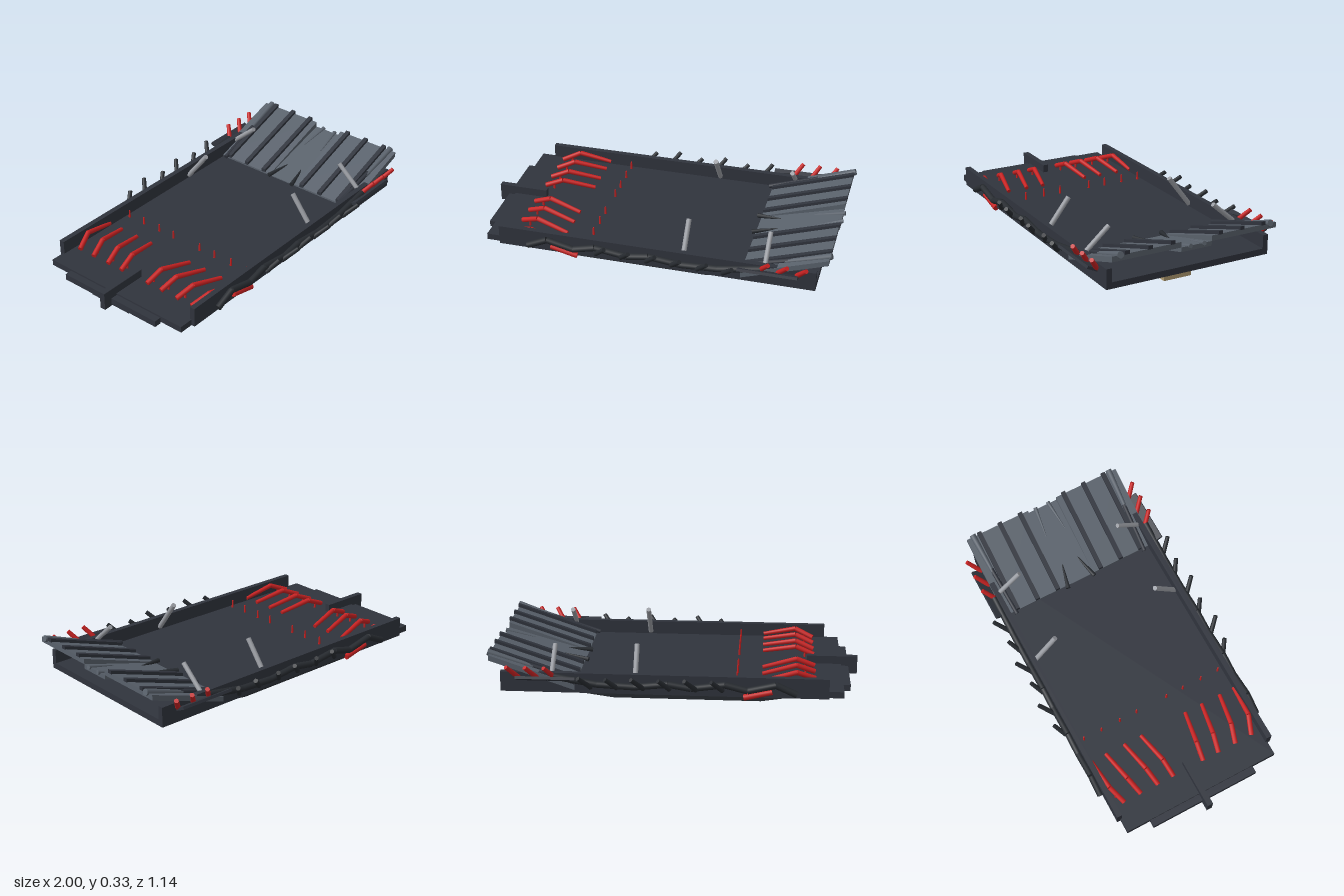
import * as THREE from 'three';

const paint = (color, side = THREE.FrontSide) => {
  const m = new THREE.MeshStandardMaterial({ side });
  m.color.set(color);
  return m;
};
const dark = paint(0x30343d), charcoal = paint(0x272b30), steel = paint(0x59616b);
const red = paint(0xc82222), tan = paint(0xb09a70), silver = paint(0x9a9da3);

export function createModel() {
  const model = new THREE.Group();
  const add = (name, geo, mat) => {
    const mesh = new THREE.Mesh(geo, mat);
    mesh.name = name;
    model.add(mesh);
    return mesh;
  };
  // Box given by its extents on each axis
  const box = (name, mat, [x0, x1], [y0, y1], [z0, z1]) => {
    const m = add(name, new THREE.BoxGeometry(x1 - x0, y1 - y0, z1 - z0), mat);
    m.position.set((x0 + x1) / 2, (y0 + y1) / 2, (z0 + z1) / 2);
    return m;
  };
  // Round bar between two points, optionally tapered
  const rod = (name, mat, a, b, r0 = 0.013, r1 = r0) => {
    const p = new THREE.Vector3(...a), d = new THREE.Vector3(...b).sub(p);
    const m = add(name, new THREE.CylinderGeometry(r1, r0, d.length(), 10), mat);
    m.position.copy(p).addScaledVector(d, 0.5);
    m.quaternion.setFromUnitVectors(new THREE.Vector3(0, 1, 0), d.normalize());
    return m;
  };
  // Side profile in x/y swept from z0 to z1
  const slab = (name, mat, pts, z0, z1) => {
    const shape = new THREE.Shape(pts.map(p => new THREE.Vector2(...p)));
    const geo = new THREE.ExtrudeGeometry(shape, { depth: z1 - z0, bevelEnabled: false });
    geo.translate(0, 0, z0);
    return add(name, geo, mat);
  };
  // Sloping strip of the ramp: top runs from yA to yB
  const incline = (name, mat, x0, x1, yA, yB, t, z0, z1) =>
    slab(name, mat, [[x0, yA - t], [x1, yB - t], [x1, yB], [x0, yA]], z0, z1);

  // Deck and stepped nose
  box('deck', dark, [-0.91, 0.92], [0.1, 0.135], [-0.46, 0.46]);
  box('noseStep', dark, [-0.95, -0.91], [0.09, 0.125], [-0.32, 0.32]);
  box('nosePanel', dark, [-0.945, -0.72], [0.08, 0.1], [-0.13, 0.13]);
  box('noseFin', dark, [-1, -0.72], [0.08, 0.18], [-0.016, 0.016]);

  // Ramp centre lane
  incline('rampCentre', steel, 0.52, 0.98, 0.14, 0.27, 0.025, -0.09, 0.09);

  for (const s of [-1, 1]) {
    const span = (a, b) => (s > 0 ? [a, b] : [-b, -a]);

    // Side rail and belly skid
    box('sideRail', dark, [-0.83, 0.92], [0.1, 0.21], span(0.45, 0.48));
    slab('bellySkid', charcoal, [
      [-0.72, 0.1], [-0.47, 0.06], [0.32, 0.06], [0.62, 0.1],
      [0.56, 0.105], [0.3, 0.082], [-0.45, 0.082], [-0.6, 0.105],
    ], ...span(0.085, 0.43));

    // Ramp lane with raised ribs
    incline('rampLane', steel, 0.52, 0.98, 0.145, 0.3, 0.03, ...span(0.09, 0.482));
    for (const z of [0.14, 0.27, 0.4])
      incline('rampRib', dark, 0.52, 0.985, 0.163, 0.318, 0.02, ...span(z - 0.013, z + 0.013));
    rod('rampEdgeBar', dark, [0.5, 0.15, s * 0.415], [0.78, 0.235, s * 0.43], 0.012);
    rod('rampEndBar', steel, [0.75, 0.225, s * 0.43], [0.99, 0.305, s * 0.44], 0.011, 0.018);
    rod('rampSpike', steel, [0.82, 0.225, s * 0.06], [0.99, 0.272, s * 0.04], 0.003, 0.012);
    rod('rampStrut', charcoal, [0.5, 0.15, s * 0.085], [0.64, 0.17, s * 0.05], 0.013, 0.004);

    // Winged plate outside the rail
    const wing = box('wingPlate', dark, [0.51, 0.83], [0.175, 0.19], span(0.465, 0.54));
    wing.rotation.x = -s * 0.45;

    // Jointed pipe along the rail
    const pipe = [[-0.66, 0.125], [-0.55, 0.175], [-0.4, 0.14], [-0.28, 0.17], [-0.1, 0.145],
      [0.02, 0.165], [0.2, 0.145], [0.4, 0.155], [0.63, 0.195]];
    pipe.slice(1).forEach(([x, y], i) =>
      rod('railPipe', charcoal, [pipe[i][0], pipe[i][1], s * 0.492], [x, y, s * 0.492], 0.018));

    // Thorns along the pipe, alternately short and long
    [-0.27, -0.13, 0.01, 0.15, 0.29, 0.43].forEach((x, i) => {
      const k = i % 2;
      rod('railThorn', charcoal, [x, 0.14, s * 0.5],
        [x + 0.06, 0.2 + k * 0.01, s * (0.54 + k * 0.022)], 0.014, 0.012);
    });
    for (const x of [0.62, 0.72, 0.82])
      rod('redThorn', red, [x, 0.18, s * 0.48], [x + 0.055, 0.255, s * 0.538], 0.014, 0.012);
    rod('sideClaw', red, [-0.53, 0.135, s * 0.487], [-0.38, 0.1, s * 0.485], 0.015, 0.017);

    // Bent claws and thin pegs on the deck
    [0.105, 0.21, 0.325, 0.435].forEach((z, i) => {
      const spread = 0.035;
      const bend = [-0.66, 0.19, s * z];
      rod('deckClawRoot', red, [-0.76, 0.15, s * (z - 0.012 - i * 0.008)], bend, 0.014);
      rod('deckClawTip', red, bend, [-0.475, 0.15, s * Math.min(z + spread, 0.45)], 0.014, 0.011);
      for (const x of [-0.34, -0.71])
        rod('deckPeg', red, [x, 0.095, s * (z - 0.01)], [x, 0.18, s * (z - 0.01)], 0.009, 0.004);
    });

    // Leaning poles
    rod('pole', silver, [0.2, 0.15, s * 0.45], [0.2, 0.325, s * 0.315], 0.014);
    rod('pole', silver, [0.645, 0.18, s * 0.47], [0.645, 0.315, s * 0.315], 0.013);
  }

  // Keel plank with four pads and round feet
  box('keelPlank', tan, [-0.87, 0.81], [0.02, 0.05], [-0.082, 0.082]);
  for (const [x0, x1, foot] of [[-0.77, -0.57, -0.63], [-0.4, -0.14, -0.21],
    [0.02, 0.3, 0.22], [0.45, 0.71, 0.65]]) {
    box('keelPad', silver, [x0, x1], [0.01, 0.021], [-0.06, 0.06]);
    const disc = add('keelFoot', new THREE.CylinderGeometry(0.048, 0.04, 0.02, 24), tan);
    disc.position.set(foot, 0.01, 0);
  }
  return model;
}
